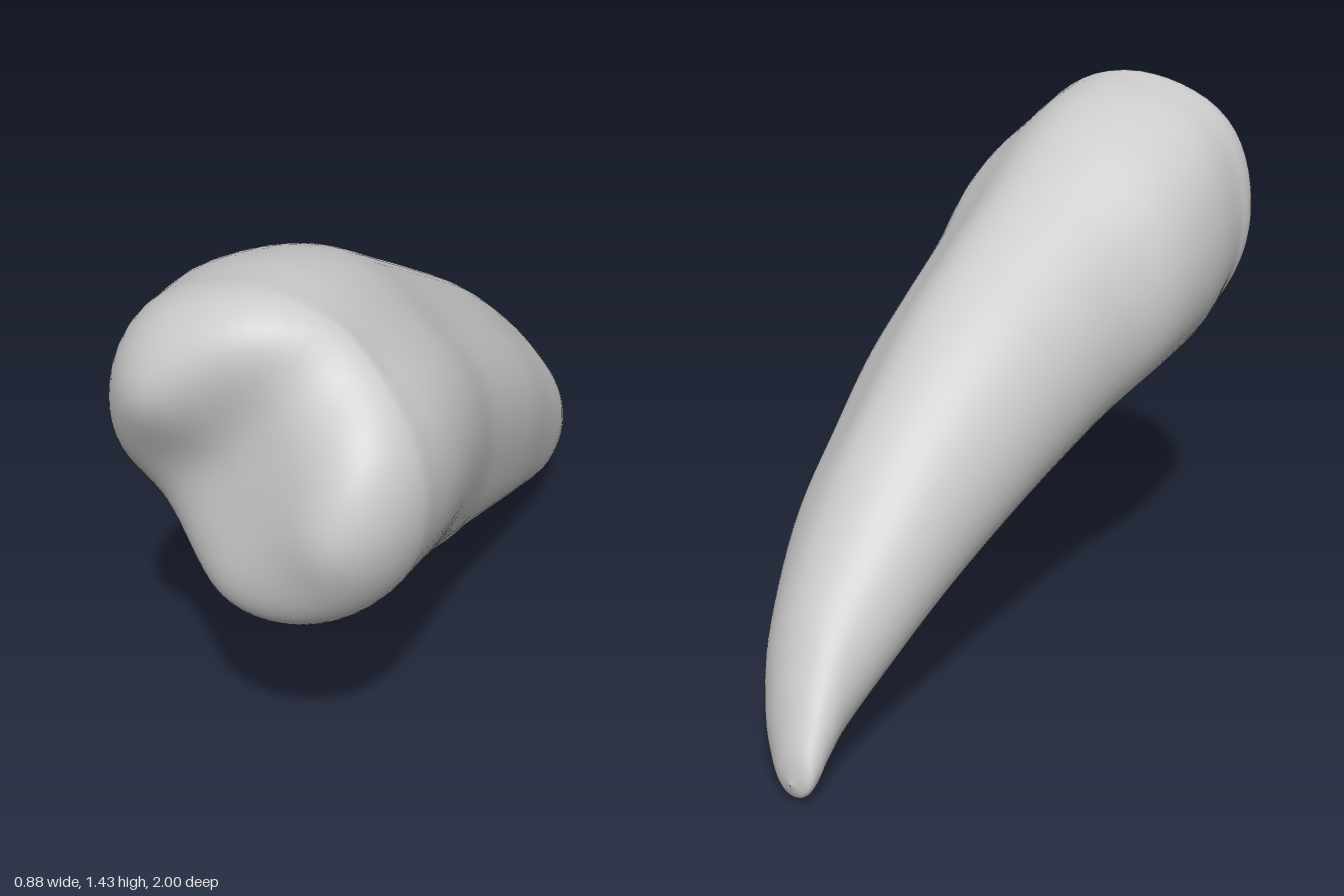
import * as THREE from 'three';

// Cross-sections from root tip to crown: z, xMin, xMax, yMin, yMax
const SECTIONS = [
  [-1.0, -0.28, -0.28, 0.05, 0.05],
  [-0.985, -0.325, -0.225, 0.012, 0.115],
  [-0.95, -0.33, -0.17, 0.0, 0.19],
  [-0.9, -0.325, -0.11, 0.02, 0.28],
  [-0.8, -0.32, -0.03, 0.06, 0.43],
  [-0.6, -0.345, 0.07, 0.155, 0.66],
  [-0.4, -0.36, 0.13, 0.24, 0.84],
  [-0.2, -0.375, 0.19, 0.32, 0.99],
  [0.0, -0.385, 0.235, 0.39, 1.115],
  [0.2, -0.4, 0.28, 0.455, 1.235],
  [0.4, -0.435, 0.35, 0.52, 1.35],
  [0.6, -0.425, 0.41, 0.56, 1.41],
  [0.78, -0.385, 0.44, 0.59, 1.43],
];
const SIDES = 64, BODY = 72, CAP = 28;
const { smoothstep } = THREE.MathUtils;

// Soft bump around an angle in degrees, 1 at the centre
const lobe = (a, degrees, width) => {
  const d = a - THREE.MathUtils.degToRad(degrees);
  return Math.exp(-((Math.atan2(Math.sin(d), Math.cos(d)) / width) ** 2));
};
// Round cusp tip on the chewing surface
const cusp = (x, y, cx, cy, r) => Math.exp(-((x - cx) ** 2 + (y - cy) ** 2) / (r * r));

function toothGeometry() {
  const curve = (f) => new THREE.CatmullRomCurve3(SECTIONS.map(f), false, 'catmullrom', 0.5);
  const centres = curve(([z, a, b, c, d]) => new THREE.Vector3((a + b) / 2, (c + d) / 2, z));
  const radii = curve(([, a, b, c, d]) => new THREE.Vector3((b - a) / 2, (d - c) / 2, 0));
  const positions = [], index = [];

  const addLoop = (c, rx, ry, zAt) => {
    const root = smoothstep(c.z, -0.9, -0.4), crown = smoothstep(c.z, 0.25, 0.7);
    for (let j = 0; j < SIDES; j++) {
      const a = (j / SIDES) * Math.PI * 2;
      // Flattened and swollen sides of the root and crown
      const k = 1
        - 0.1 * root * lobe(a, 50, 0.42)
        - root * (0.12 - 0.05 * crown) * lobe(a, 240, 0.4)
        + 0.12 * root * (1 - crown) * lobe(a, 307, 0.4)
        + 0.06 * crown * lobe(a, 137, 0.42);
      const x = c.x + rx * k * Math.cos(a), y = c.y + ry * k * Math.sin(a), z = zAt(a);
      // Broad diagonal valley between two cusps, fading out down the crown
      const across = (x - 0.02) * 0.72 - (y - 1.1) * 0.7;
      const valley = 0.12 * Math.exp(-((across / 0.16) ** 2)) * smoothstep(z, 0.6, 1);
      const lower = 0.025 * smoothstep(across, 0, 0.2);
      const tips = 0.03 * cusp(x, y, -0.15, 1.18, 0.15) + 0.025 * cusp(x, y, 0.32, 0.95, 0.13);
      positions.push(x, y, z - valley + (tips - lower) * smoothstep(z, 0.7, 1));
    }
  };

  // Root and crown walls
  for (let i = 0; i <= BODY; i++) {
    const t = (i / BODY) ** 1.15;
    const c = centres.getPoint(t), r = radii.getPoint(t);
    addLoop(c, Math.max(r.x, 0.0005), Math.max(r.y, 0.0005), () => c.z);
  }
  // Chewing surface, its rim sharper towards the lower right
  const c = centres.getPoint(1), r = radii.getPoint(1);
  for (let i = 1; i <= CAP; i++) {
    const u = (i / CAP) * Math.PI / 2;
    const s = Math.max(Math.cos(u), 0.001);
    addLoop(c, r.x * s, r.y * s,
      (a) => c.z + 0.235 * Math.sqrt(1 - s ** (4.5 + 1.1 * Math.cos(a + 0.5))));
  }

  for (let i = 0; i < BODY + CAP; i++) {
    for (let j = 0; j < SIDES; j++) {
      const n = (j + 1) % SIDES;
      const a = i * SIDES + j, b = i * SIDES + n;
      index.push(a, b, a + SIDES, b, b + SIDES, a + SIDES);
    }
  }
  const geometry = new THREE.BufferGeometry();
  geometry.setAttribute('position', new THREE.Float32BufferAttribute(positions, 3));
  geometry.setIndex(index);
  geometry.computeVertexNormals();
  return geometry;
}

export function createModel() {
  const group = new THREE.Group();
  group.name = 'toothModel';
  const enamel = new THREE.MeshStandardMaterial({ color: 0xcccccc });
  enamel.name = 'greyEnamel';
  const tooth = new THREE.Mesh(toothGeometry(), enamel);
  tooth.name = 'tooth';
  group.add(tooth);
  return group;
}
